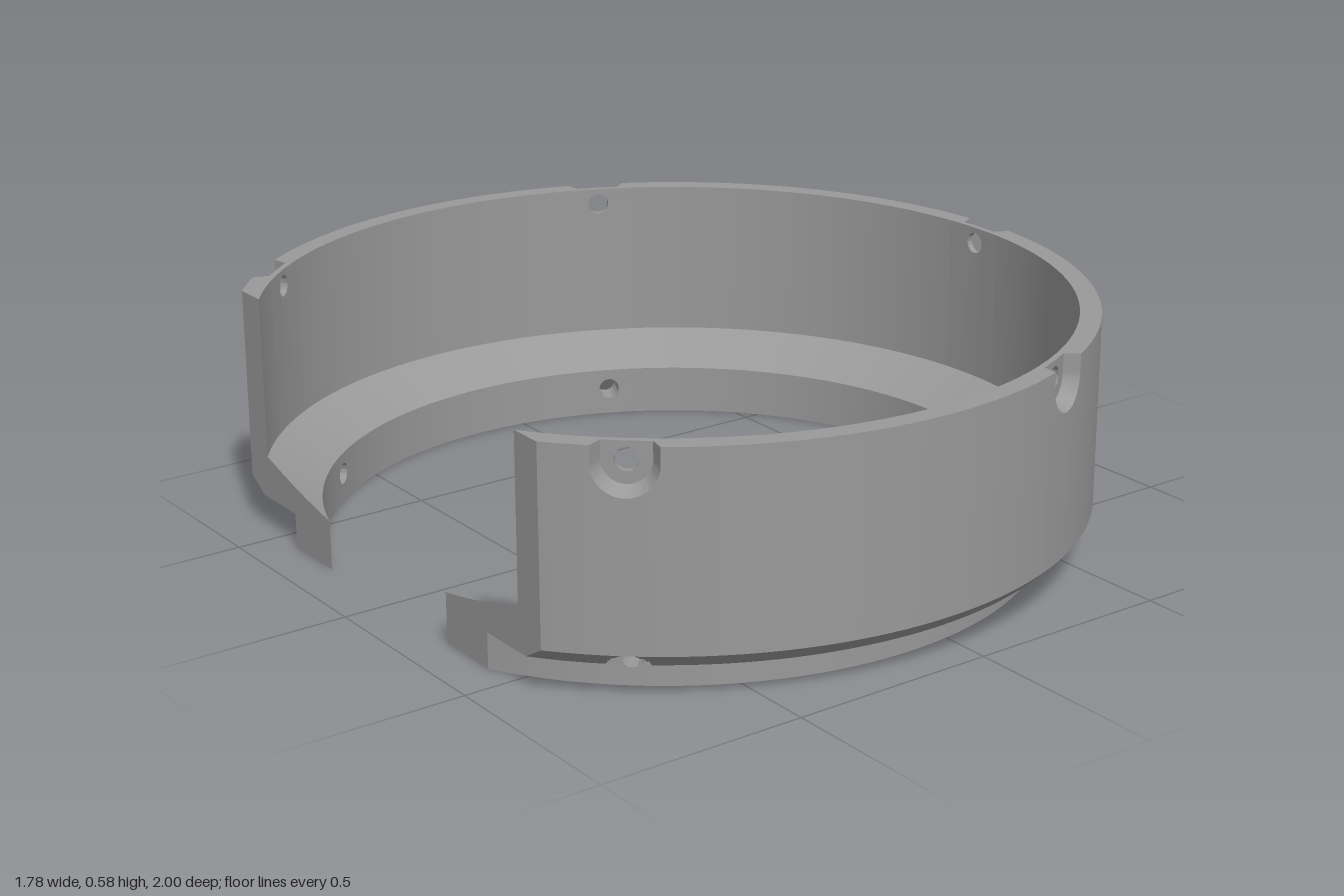
import * as THREE from 'three';
import { toCreasedNormals } from 'three/addons/utils/BufferGeometryUtils.js';

const CENTRE_X = -0.11, CUT = 0.78;        // ring axis, and distance from it to the flat cut
const TOP = 0.58, STEP = 0.085;            // rim height, underside of the flange
const R = { lowIn: 0.82, lowOut: 0.885, upIn: 0.95, floor: 0.965, out: 1 };
const PITCH = (Math.PI * 2) / 5.5;         // angle between screw positions
const HALF = 0.09;                         // half angle of a screw panel
const SCREWS = [-2, -1, 0, 1, 2].map(i => i * PITCH);
const UPPER = 0.54, LOWER = 0.068;         // heights of the two screw rows
const HOLE = 0.026, GROOVE = 0.05;

const polar = (a, r, y) => [r * Math.cos(a), y, r * Math.sin(a)];
const across = (s, r, y) => polar(Math.asin(s / r), r, y);
const cutAngle = r => Math.acos(-CUT / r);

// Adds a grid of quads; skip(four corners) leaves an opening
function grid(out, nu, nv, f, skip = () => false) {
  for (let i = 0; i < nu; i++) for (let j = 0; j < nv; j++) {
    const a = f(i, j), b = f(i + 1, j), c = f(i + 1, j + 1), d = f(i, j + 1);
    if (!skip([a, b, c, d])) out.push(...a, ...b, ...c, ...a, ...c, ...d);
  }
}

function geometry(positions) {
  const g = new THREE.BufferGeometry();
  g.setAttribute('position', new THREE.Float32BufferAttribute(positions, 3));
  return toCreasedNormals(g, 0.5);
}

// Straight run of profile points, subdivided
const run = (a, b, n) => Array.from({ length: n + 1 }, (_, i) =>
  [a[0] + (b[0] - a[0]) * i / n, a[1] + (b[1] - a[1]) * i / n]);

const A = [R.lowIn, 0], B = [R.lowIn, 0.12], C = [R.upIn, 0.19], D = [R.upIn, TOP],
  E = [R.out, TOP], F = [R.out, 0.12], G = [0.965, STEP], H = [R.lowOut, STEP], I = [R.lowOut, 0];
const cone = run(B, C, 6), base = run(I, A, 4);
const profile = [A, ...cone, D, E, F, G, ...run(G, H, 4).slice(1), ...base];

// Plain wall between the screw panels, running on to the flat cut
function wallGeometry() {
  const out = [];
  for (let k = 0; k <= SCREWS.length; k++) {
    const from = r => k === 0 ? -cutAngle(r) : SCREWS[k - 1] + HALF;
    const to = r => k === SCREWS.length ? cutAngle(r) : SCREWS[k] - HALF;
    const n = k % SCREWS.length ? 28 : 10;
    grid(out, n, profile.length - 1, (i, j) => {
      const [r, y] = profile[j];
      return polar(from(r) + (to(r) - from(r)) * i / n, r, y);
    });
  }
  return geometry(out);
}

// Outlines round a screw centre, all sharing one angle parameter
const circle = rad => a => [rad * Math.cos(a), rad * Math.sin(a)];
const box = (w, up, down) => a => {
  const c = Math.cos(a), s = Math.sin(a), m = Math.max(Math.abs(c), Math.abs(s));
  return [w * c / m, (s > 0 ? up : down) * s / m];
};
const slot = w => a => Math.sin(a) < 0 ? circle(w)(a) : box(w, TOP - UPPER, 0)(a);
const grooved = f => a => {
  const [x, y] = f(a), k = Math.max(1, GROOVE / Math.hypot(x, y));
  return [x * k, y * k];
};

// Skins a chain of [outline, radius] loops
function loft(out, y0, loops, skip) {
  const n = 64;
  grid(out, n, loops.length - 1, (i, j) => {
    const [outline, r] = loops[j];
    const [s, y] = outline(i / n * Math.PI * 2);
    return across(s, r, y0 + y);
  }, skip);
}

// Slice of the ring with an upper slotted hole and a lower grooved hole
function panelGeometry() {
  const out = [], w = r => r * Math.sin(HALF), rim = TOP - UPPER;
  const flare = 0.072, floor = 0.054;

  // inner wall, upper hole, slot floor, flare, outer wall
  loft(out, UPPER, [
    [box(w(R.upIn), rim, UPPER - C[1]), R.upIn],
    [circle(HOLE), R.upIn], [circle(HOLE), R.floor],
    [slot(floor), R.floor], [slot(flare), R.out],
    [box(w(R.out), rim, UPPER - F[1]), R.out],
  ], q => q.every(p => p[1] > TOP - 1e-6));

  // lower inner wall, hole and grooved outer wall
  loft(out, LOWER, [
    [box(w(R.lowIn), B[1] - LOWER, LOWER), R.lowIn],
    [circle(HOLE), R.lowIn], [circle(HOLE), R.lowOut],
    [grooved(box(w(R.lowOut), STEP - LOWER, LOWER)), R.lowOut],
  ]);

  // rim notched by the slot
  const rimS = [-w(1), -flare, -floor, 0, floor, flare, w(1)];
  const rimR = [R.out, R.out, R.floor, R.floor, R.floor, R.out, R.out];
  grid(out, 6, 1, (i, j) => j
    ? across(rimS[i], rimR[i], TOP)
    : across(rimS[i] * R.upIn, R.upIn, TOP));

  // chamfer and flange underside with the radial groove
  const radii = [1, 0.99, 0.98, 0.965, 0.94, 0.91, R.lowOut];
  grid(out, 60, radii.length - 1, (i, j) => {
    const r = radii[j], s = w(r) * (i / 30 - 1);
    const plain = Math.max(STEP, STEP + (r - G[0]));
    const scoop = LOWER + Math.sqrt(Math.max(0, GROOVE ** 2 - s * s));
    return across(s, r, Math.max(plain, scoop));
  });

  // inner cone and base
  for (const path of [cone, base]) {
    grid(out, 6, path.length - 1, (i, j) => polar(HALF * (i / 3 - 1), ...path[j]));
  }
  return geometry(out);
}

// Flat section face at the cut
function endGeometry(side) {
  const points = profile.slice(0, -1).map(([r, y]) =>
    new THREE.Vector2(side * Math.sqrt(r * r - CUT * CUT), y));
  return new THREE.ShapeGeometry(new THREE.Shape(points)).rotateY(-Math.PI / 2).translate(-CUT, 0, 0);
}

export function createModel() {
  const model = new THREE.Group();
  model.name = 'openRing';
  const material = new THREE.MeshStandardMaterial({ color: 0x999999 });
  const add = (name, geo) => {
    const mesh = new THREE.Mesh(geo, material);
    mesh.name = name;
    mesh.position.x = CENTRE_X;
    model.add(mesh);
    return mesh;
  };

  add('ringWall', wallGeometry());
  const panel = panelGeometry();
  SCREWS.forEach((angle, i) => { add(`screwPanel${i + 1}`, panel).rotation.y = -angle; });
  add('leftEndFace', endGeometry(1));
  add('rightEndFace', endGeometry(-1));
  return model;
}
